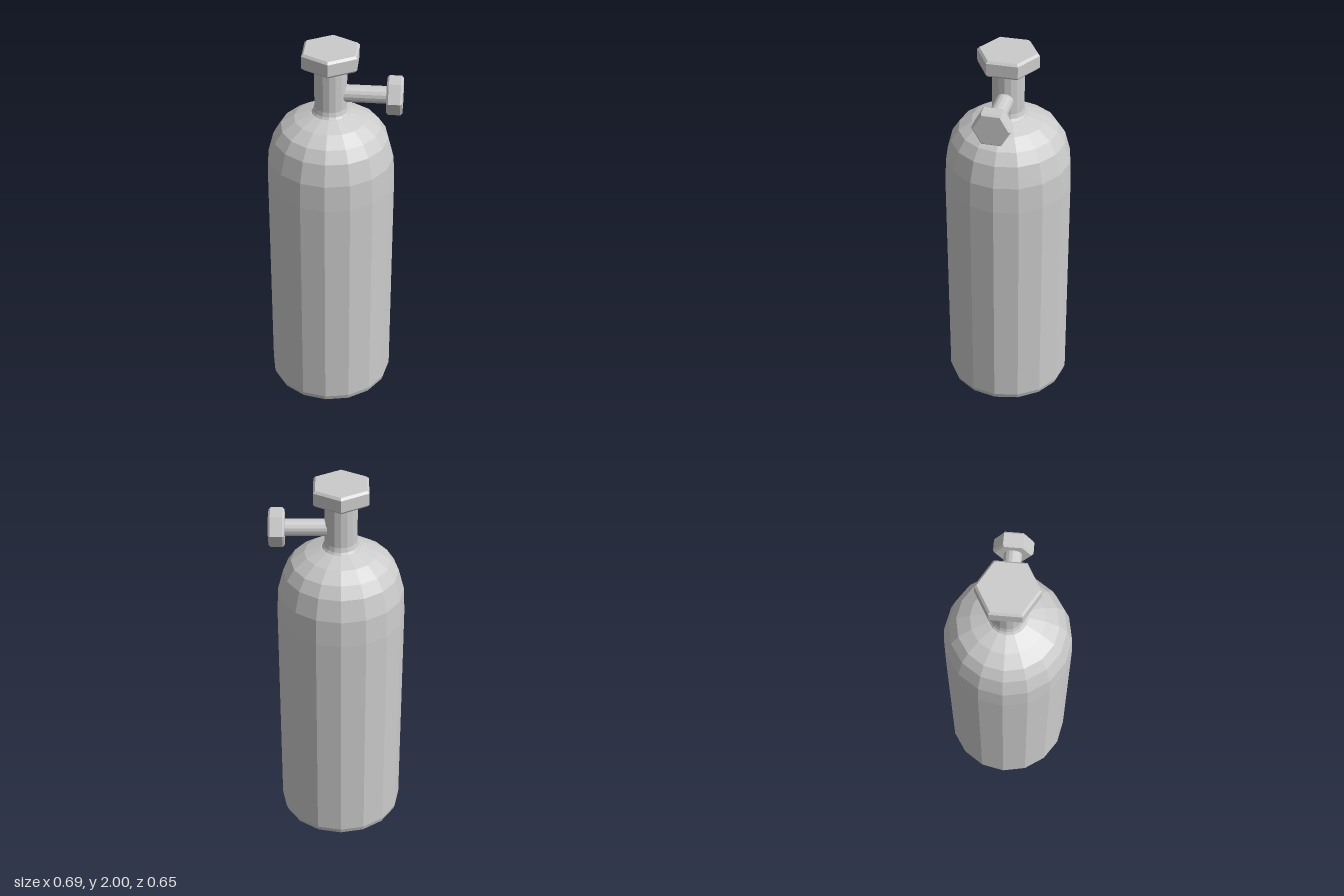
import * as THREE from 'three';

const material = new THREE.MeshStandardMaterial({ color: 0xcccccc, flatShading: true });

// Faceted solid of revolution from [radius, height] pairs, bottom to top
function turned(name, profile, sides) {
  const points = profile.map(([r, y]) => new THREE.Vector2(r, y));
  const mesh = new THREE.Mesh(new THREE.LatheGeometry(points, sides), material);
  mesh.name = name;
  return mesh;
}

// Hexagonal knob with bevelled rims, standing on its local y = 0
function hexKnob(name, radius, height, bevel) {
  const inner = radius - bevel;
  return turned(name, [
    [0, 0], [inner, 0], [radius, bevel],
    [radius, height - bevel], [inner, height], [0, height],
  ], 6);
}

export function createModel() {
  const model = new THREE.Group();
  model.name = 'gasCylinder';

  // Tank with bevelled base and domed shoulder
  const tank = turned('tank', [
    [0, 0], [0.3, 0], [0.318, 0.012], [0.327, 0.04], [0.327, 1.26],
    [0.321, 1.4], [0.292, 1.51], [0.253, 1.57], [0.185, 1.617],
    [0.1, 1.65], [0, 1.655],
  ], 16);

  // Neck with a small flare where it meets the shoulder
  const neck = turned('neck', [
    [0.1, 1.645], [0.088, 1.662], [0.082, 1.685], [0.082, 1.93],
  ], 16);

  const topKnob = hexKnob('topKnob', 0.157, 0.087, 0.012);
  topKnob.position.y = 1.913;

  // Side outlet: pipe and knob built upright, then laid along +x
  const outlet = new THREE.Group();
  outlet.name = 'sideOutlet';
  const pipe = turned('outletPipe', [[0, 0.03], [0.044, 0.03], [0.044, 0.29]], 16);
  const sideKnob = hexKnob('outletKnob', 0.098, 0.08, 0.01);
  sideKnob.position.y = 0.279;
  outlet.add(pipe, sideKnob);
  outlet.rotation.z = -Math.PI / 2;
  outlet.position.set(0, 1.757, 0.001);

  model.add(tank, neck, topKnob, outlet);
  model.position.x = -0.017;
  return model;
}
